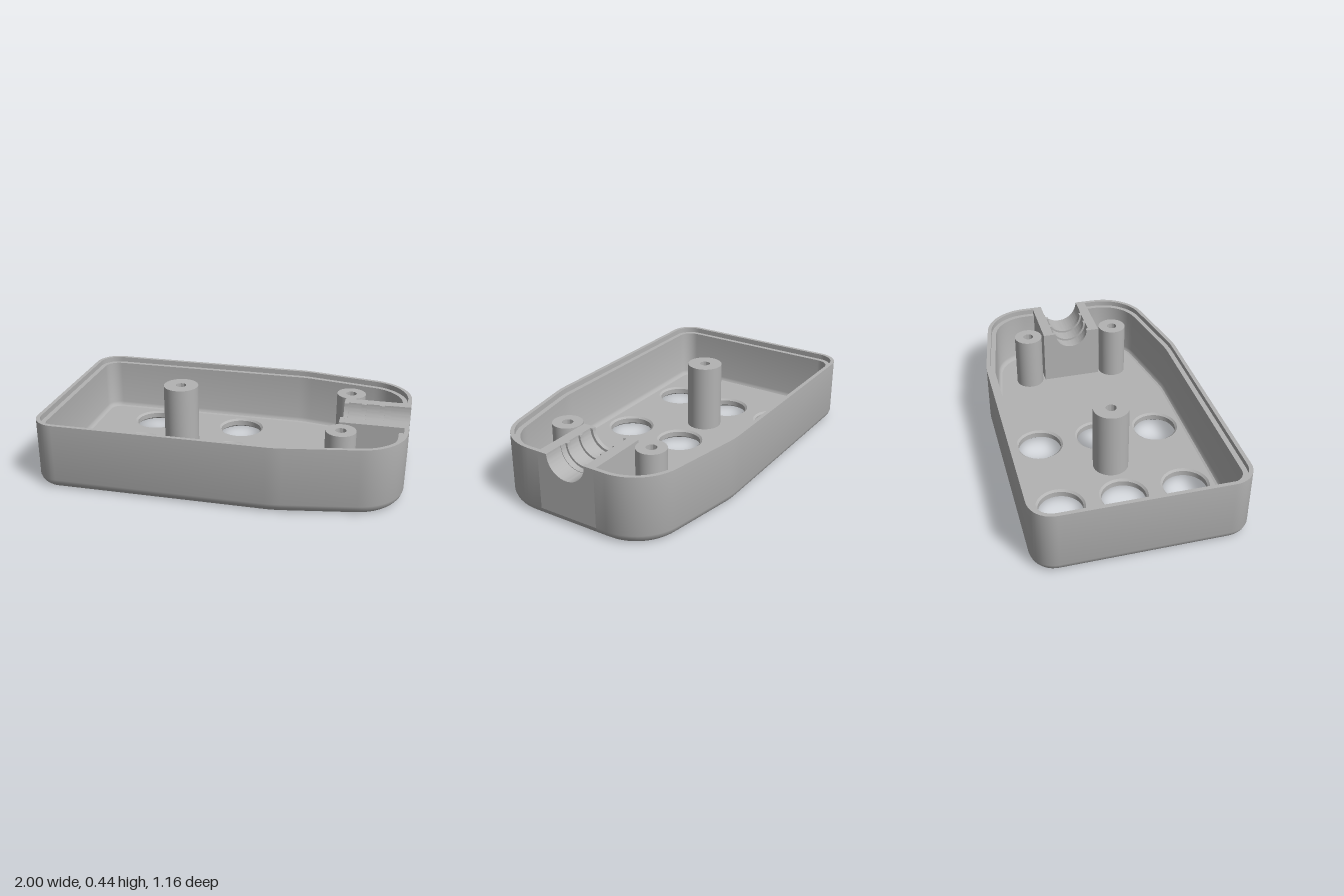
import * as THREE from 'three';
import { toCreasedNormals } from 'three/addons/utils/BufferGeometryUtils.js';

const RIM = 0.375, FLOOR = 0.05, GAP = 0.175; // rim height, floor thickness, half width of cable block
const grey = new THREE.MeshStandardMaterial({ color: 0xb3b3b3 });
grey.name = 'grey plastic';

// Half of the case outline: arcs of [centre x, centre z, radius, from, to (degrees), steps]
const ARCS = [
  [0.73, 0.238, 0.27, 0, 80, 14],
  [0.3, 0.08, 0.5, 80, 90, 3],
  [-0.87, 0.45, 0.13, 90, 180, 10],
];

// Outline from one side of the cable gap round to the other, moved inwards by inset
function outline(inset) {
  const half = [[1 - inset, GAP]];
  for (const [cx, cz, r, from, to, n] of ARCS) {
    for (let i = 0; i <= n; i++) {
      const a = THREE.MathUtils.degToRad(from + (to - from) * i / n);
      half.push([cx + (r - inset) * Math.cos(a), cz + (r - inset) * Math.sin(a)]);
    }
  }
  return [...half, ...half.map(([x, z]) => [x, -z]).reverse()];
}

// Sweep a profile of [inset, y] along a path given for each inset
function sweep(profile, path) {
  const rows = profile.map(([d, y]) => path(d).map(([x, z]) => [x, y, z]));
  const n = rows[0].length, index = [];
  for (let j = 0; j < rows.length - 1; j++) {
    for (let i = 0; i < n - 1; i++) {
      const a = j * n + i, b = a + n;
      index.push(a, b, a + 1, b, b + 1, a + 1);
    }
  }
  const g = new THREE.BufferGeometry();
  g.setAttribute('position', new THREE.Float32BufferAttribute(rows.flat(2), 3));
  g.setIndex(index);
  return g;
}

function circle(x, z, r) {
  return new THREE.Path().absarc(x, z, r, 0, Math.PI * 2, true);
}

// Horizontal plate with holes, between two heights
function plate(holes, bottom, top) {
  const shape = new THREE.Shape(outline(0.035).map(([x, z]) => new THREE.Vector2(x, z)));
  shape.holes.push(...holes);
  return new THREE.ExtrudeGeometry(shape, { depth: top - bottom, bevelEnabled: false, curveSegments: 24 })
    .rotateX(Math.PI / 2).translate(0, top, 0);
}

function lathe(points) {
  return new THREE.LatheGeometry(points.map(([r, y]) => new THREE.Vector2(r, y)), 48);
}

export function createModel() {
  const model = new THREE.Group();
  model.name = 'enclosureHalf';
  const add = (name, geometry, x = 0, y = 0, z = 0) => {
    const mesh = new THREE.Mesh(toCreasedNormals(geometry, 0.6), grey);
    mesh.name = name;
    mesh.position.set(x, y, z);
    model.add(mesh);
  };

  // Wall with rounded foot, stepped rim and inner fillet
  const foot = [[0.035, 0], [0.02, 0.012], [0.008, 0.028], [0, FLOOR]];
  add('wall', sweep([...foot, [0, RIM], [0.022, RIM], [0.022, 0.345], [0.05, 0.345],
    [0.05, 0.075], [0.054, 0.062], [0.06, 0.054], [0.072, FLOOR]], outline));
  add('footBelowCable', sweep(foot, (d) => [[1 - d, -GAP], [1 - d, GAP]]));

  // Floor with six round openings and shallow engraved marks underneath
  const spots = [-0.58, -0.03].flatMap((x) => [-0.35, 0, 0.35].map((z) => [x, z]));
  const openings = spots.map(([x, z]) => circle(x, z, 0.135));
  const dashes = [-0.35, 0].map((z) => new THREE.Path([[-0.42, -1], [-0.42, 1], [-0.305, 1], [-0.305, -1]]
    .map(([x, s]) => new THREE.Vector2(x, z + s * 0.006))));
  const ringSpots = [[-0.25, 0], [-0.25, 0.35]];
  const rings = ringSpots.map(([x, z]) => circle(x, z, 0.046));
  const skin = 0.008;
  add('floor', plate(openings, skin, FLOOR));
  add('floorUnderside', plate([...openings, ...dashes, ...rings], 0, skin));
  for (const [x, z] of ringSpots) {
    add('ringMarkCentre', new THREE.CylinderGeometry(0.03, 0.03, skin, 24), x, skin / 2, z);
  }
  for (const [x, z] of spots) {
    add('openingRim', lathe([[0.135, FLOOR], [0.123, 0.04], [0.123, 0.01], [0.135, 0]]), x, 0, z);
  }

  // Screw posts with blind holes
  const post = (name, x, z, r, top) =>
    add(name, lathe([[r, FLOOR - 0.005], [r, top], [0.03, top], [0.03, top - 0.2], [0, top - 0.2]]), x, 0, z);
  post('centrePost', -0.31, 0, 0.1, 0.44);
  for (const s of [-1, 1]) post('cablePost', 0.65, s * 0.27, 0.083, 0.37);

  // Cable block: slices with a half-round channel of alternating radius
  const cuts = [[0.627, 0.1], [0.652, 0.115], [0.725, 0.103], [0.752, 0.115], [0.828, 0.103],
    [0.855, 0.115], [0.89, 0.118], [1, 0]];
  for (let i = 0; i < cuts.length - 1; i++) {
    const [x, r] = cuts[i];
    const shape = new THREE.Shape();
    shape.moveTo(-GAP, FLOOR - 0.002);
    shape.lineTo(GAP, FLOOR - 0.002);
    shape.lineTo(GAP, RIM);
    shape.lineTo(r, RIM);
    shape.absarc(0, RIM, r, 0, -Math.PI, true);
    shape.lineTo(-GAP, RIM);
    add('cableBlock', new THREE.ExtrudeGeometry(shape,
      { depth: cuts[i + 1][0] - x, bevelEnabled: false, curveSegments: 24 }).rotateY(Math.PI / 2), x);
  }
  return model;
}
